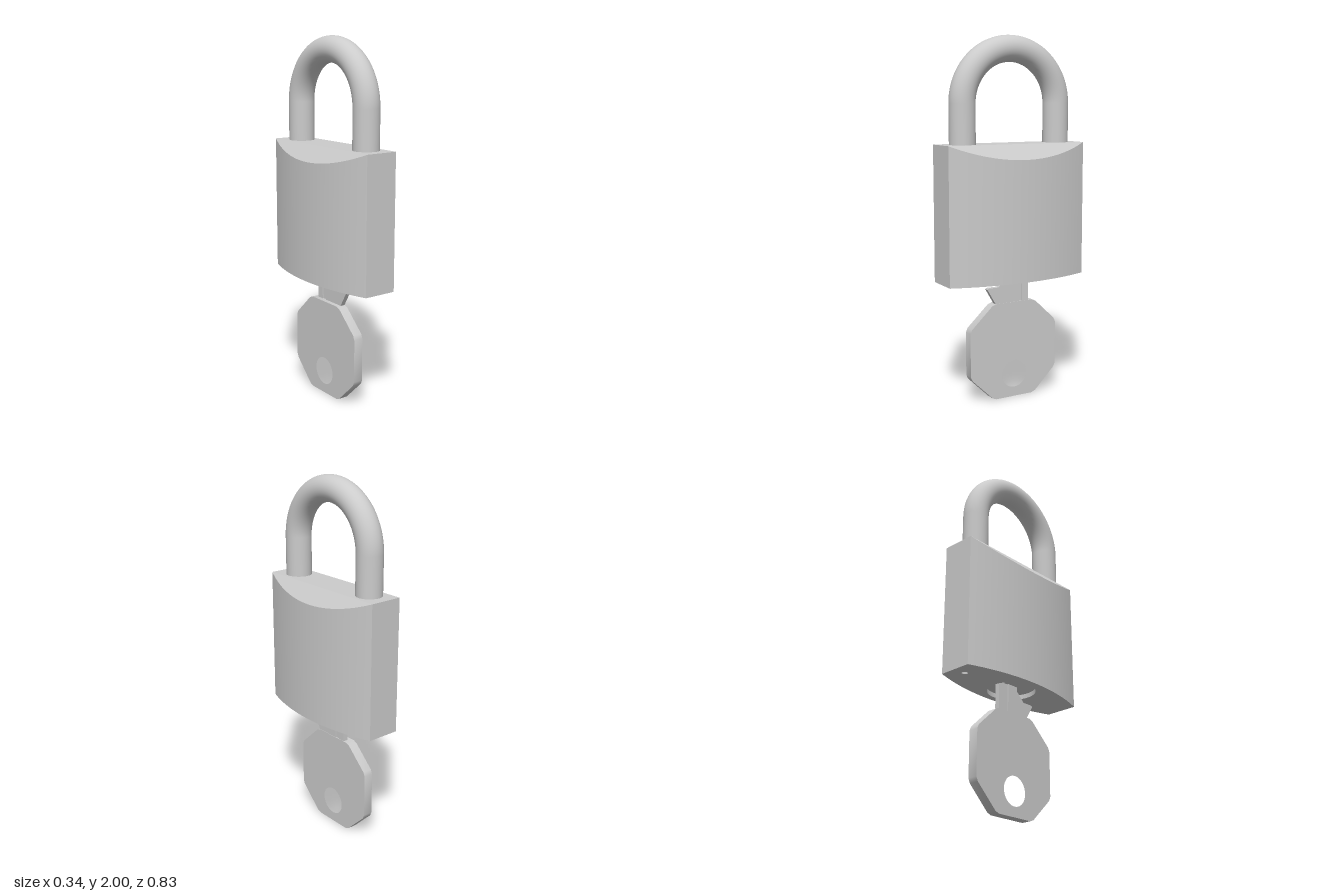
import * as THREE from 'three';
import { toCreasedNormals } from 'three/addons/utils/BufferGeometryUtils.js';

const grey = new THREE.MeshStandardMaterial({ color: 0xcccccc });
const greyDouble = new THREE.MeshStandardMaterial({ color: 0xcccccc, side: THREE.DoubleSide });

const BOTTOM = 0.685, TOP = 1.425, HALF_Z = 0.415, END_X = 0.093, BULGE = 0.075;
const PLUG_R = 0.13, PIN_R = 0.016, PIN_Z = -0.345;

function add(parent, name, geometry, material = grey) {
  const mesh = new THREE.Mesh(geometry, material);
  mesh.name = name;
  parent.add(mesh);
  return mesh;
}

// Half width of the body at depth z: a shallow circular arc
function halfWidth(z) {
  const R = (HALF_Z ** 2 + BULGE ** 2) / (2 * BULGE);
  return END_X + BULGE - R + Math.sqrt(R * R - z * z);
}

// Body walls and curved top chamfer, lofted through three rings
function bodySides() {
  const N = 32, outline = [];
  for (const side of [1, -1]) {
    for (let i = 0; i <= N; i++) outline.push([side, side * HALF_Z * (1 - 2 * i / N)]);
  }
  const rings = [
    ([s, z]) => [s * halfWidth(z), BOTTOM, z],
    ([s, z]) => [s * halfWidth(z), TOP - (halfWidth(z) - END_X) * 1.07, z],
    ([s, z]) => [s * END_X, TOP, z],
  ];
  const pos = [];
  for (let r = 0; r < 2; r++) {
    outline.forEach((p, i) => {
      const q = outline[(i + 1) % outline.length];
      if (r === 1 && p[0] !== q[0]) return; // no chamfer on the flat ends
      const a = rings[r](p), b = rings[r](q), c = rings[r + 1](q), d = rings[r + 1](p);
      pos.push(...a, ...b, ...c, ...a, ...c, ...d);
    });
  }
  const g = new THREE.BufferGeometry();
  g.setAttribute('position', new THREE.Float32BufferAttribute(pos, 3));
  return toCreasedNormals(g, 0.4);
}

// Underside with openings for the lock cylinder and the drain hole
function bodyBottom() {
  const shape = new THREE.Shape();
  for (const side of [1, -1]) {
    for (let i = 0; i <= 32; i++) {
      const z = side * HALF_Z * (2 * i / 32 - 1);
      const x = side * halfWidth(z);
      if (side === 1 && i === 0) shape.moveTo(x, z);
      else shape.lineTo(x, z);
    }
  }
  shape.closePath();
  shape.holes.push(
    new THREE.Path().absarc(0, 0, PLUG_R, 0, Math.PI * 2, true),
    new THREE.Path().absarc(0, PIN_Z, PIN_R, 0, Math.PI * 2, true),
  );
  return new THREE.ShapeGeometry(shape, 24).rotateX(Math.PI / 2).translate(0, BOTTOM, 0);
}

// Round blind hole opening downwards
function recess(radius, depth, z) {
  const pts = [[0, depth], [radius, depth], [radius, 0]].map(p => new THREE.Vector2(...p));
  return toCreasedNormals(new THREE.LatheGeometry(pts, 48), 0.5).translate(0, BOTTOM, z);
}

// Plate with an outline in (z, y), spanning x0 to x1
function plate(points, x0, x1, hole) {
  const shape = new THREE.Shape(points.map(([z, y]) => new THREE.Vector2(-z, y)));
  if (hole) shape.holes.push(new THREE.Path().absarc(-hole.z, hole.y, hole.r, 0, Math.PI * 2, true));
  const g = new THREE.ExtrudeGeometry(shape, { depth: x1 - x0, bevelEnabled: false, curveSegments: 24 });
  return toCreasedNormals(g.rotateY(Math.PI / 2).translate(x0, 0, 0), 0.6);
}

// Softens polygon corners with two extra points each
function softCorners(points, cut) {
  return points.flatMap((p, i) => {
    const n = points.length;
    return [points[(i + n - 1) % n], points[(i + 1) % n]].map(q => {
      const t = cut / Math.hypot(q[0] - p[0], q[1] - p[1]);
      return [p[0] + (q[0] - p[0]) * t, p[1] + (q[1] - p[1]) * t];
    });
  });
}

export function createModel() {
  const model = new THREE.Group();
  model.name = 'padlock';

  // Lock body
  const body = new THREE.Group();
  body.name = 'body';
  model.add(body);
  add(body, 'bodySides', bodySides());
  add(body, 'bodyTop', new THREE.PlaneGeometry(2 * END_X, 2 * HALF_Z).rotateX(-Math.PI / 2).translate(0, TOP, 0));
  add(body, 'bodyBottom', bodyBottom());
  add(body, 'lockCylinder', recess(PLUG_R, 0.025, 0), greyDouble);
  add(body, 'drainHole', recess(PIN_R, 0.06, PIN_Z), greyDouble);

  // Shackle: half ring on two straight legs
  const shackle = new THREE.Group();
  shackle.name = 'shackle';
  model.add(shackle);
  const R = 0.289, r = 0.071, springY = 1.64;
  add(shackle, 'shackleBow', new THREE.TorusGeometry(R, r, 32, 64, Math.PI).rotateY(Math.PI / 2).translate(0, springY, 0));
  for (const side of [1, -1]) {
    const h = springY - TOP + 0.02;
    add(shackle, side > 0 ? 'frontLeg' : 'backLeg',
      new THREE.CylinderGeometry(r, r, h, 32, 1, true).translate(0, springY - h / 2, side * R));
  }

  // Key: eight-sided head with a ring hole
  const key = new THREE.Group();
  key.name = 'key';
  model.add(key);
  const head = [[0.11, 0], [0.255, 0.14], [0.255, 0.41], [0.11, 0.545],
    [-0.147, 0.545], [-0.29, 0.41], [-0.29, 0.14], [-0.147, 0]];
  add(key, 'keyHead', plate(softCorners(head, 0.014), -0.042, 0.013, { z: -0.02, y: 0.132, r: 0.078 }));

  // Blade: thin core with its tooth, and raised ribs leaving a groove
  const bladeTop = 0.72;
  add(key, 'keyBlade', plate([[-0.11, 0.54], [0.095, 0.54], [0.148, 0.63], [0.143, 0.637],
    [0.08, 0.637], [0.03, 0.685], [0.03, bladeTop], [-0.11, bladeTop]], -0.009, 0.006));
  add(key, 'bladeToothRib', plate([[-0.04, 0.54], [0.095, 0.54], [0.148, 0.63], [0.143, 0.637],
    [0.08, 0.637], [0.03, 0.685], [0.03, bladeTop], [-0.04, bladeTop]], -0.016, 0.011));
  add(key, 'bladeSpineRib', plate([[-0.11, 0.54], [-0.07, 0.54], [-0.07, bladeTop], [-0.11, bladeTop]], -0.016, 0.011));

  return model;
}
